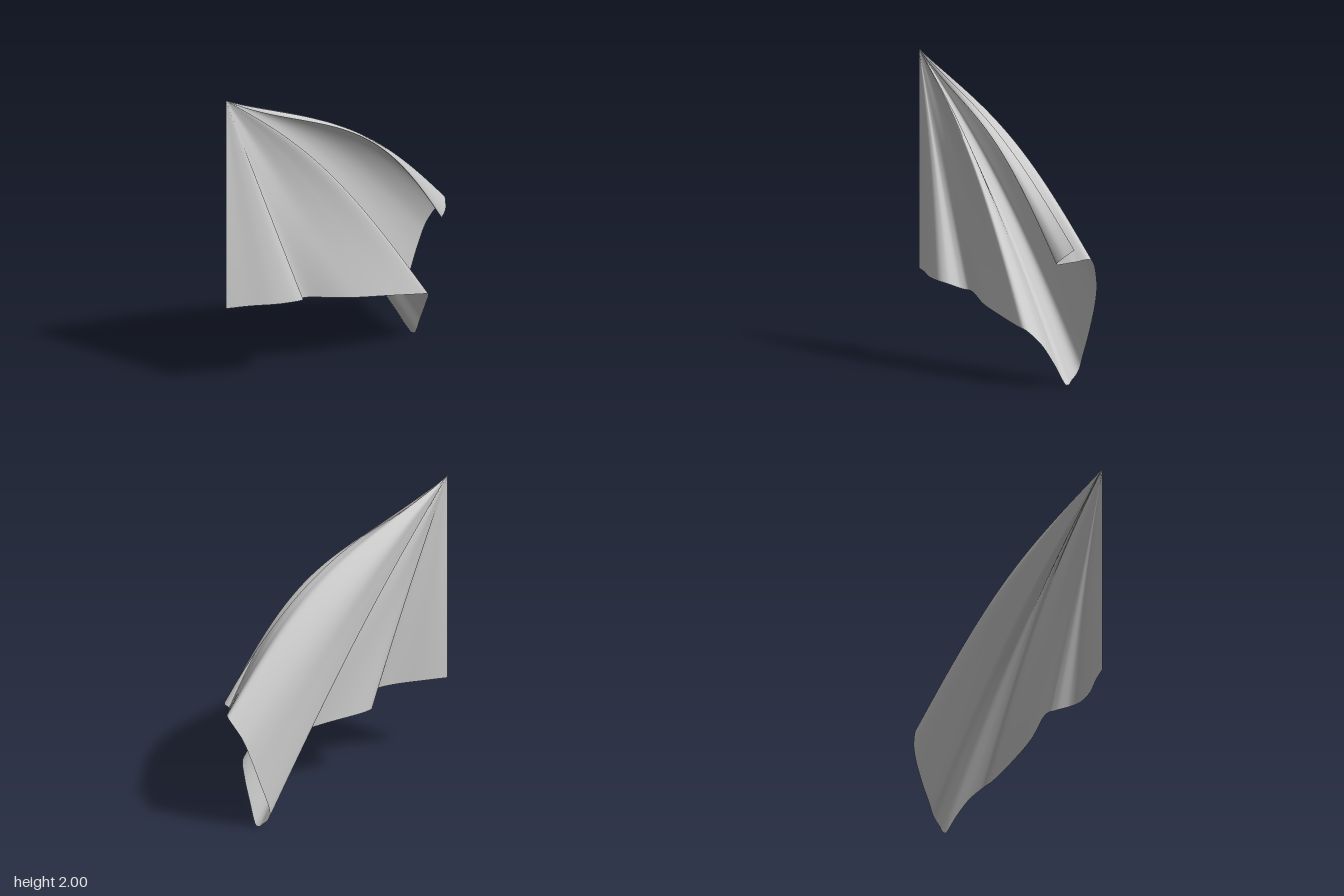
import * as THREE from 'three';

// Draped cloth: folds fan out from one pinned top corner to the free rim.
const APEX = new THREE.Vector3(-0.13, 2, 0.94);

// Rim points [x, y, z], then the ray's bulge [sideways, upward, peak position power]
const RAYS = [
  // lower edge, from the straight hoist
  [-0.13, 0.57, 0.94, 0, 0, 1],
  [-0.06, 0.57, 0.8, -0.01, 0, 1],
  [0.03, 0.565, 0.64, -0.015, 0, 1],
  [0.075, 0.56, 0.5, -0.015, 0, 1],
  [0.05, 0.545, 0.42, -0.01, 0.01, 1],
  [-0.03, 0.51, 0.37, 0.005, 0.02, 1],
  [-0.045, 0.5, 0.28, 0, 0.05, 1],
  [0.07, 0.46, 0.02, -0.05, 0.08, 1],
  [0.15, 0.425, -0.25, -0.04, 0.12, 1],
  [0.195, 0.385, -0.49, -0.01, 0.16, 1],
  // large ridge, turning under to the lowest corner
  [0.185, 0.36, -0.58, 0, 0.18, 1],
  [0.11, 0.27, -0.635, 0, 0.17, 1],
  [0.03, 0.14, -0.665, 0, 0.15, 1],
  [-0.05, 0.0, -0.685, -0.01, 0.125, 1],
  // fly edge, around the valley and up
  [-0.11, 0.03, -0.675, -0.015, 0.12, 1],
  [-0.165, 0.09, -0.675, -0.02, 0.12, 1],
  [-0.18, 0.18, -0.695, -0.02, 0.12, 1],
  [-0.18, 0.35, -0.765, -0.03, 0.13, 1],
  [-0.17, 0.55, -0.84, -0.04, 0.15, 1],
  [-0.14, 0.7, -0.89, -0.02, 0.17, 1.1],
  [-0.06, 0.84, -0.94, 0.02, 0.18, 1.2],
  // small pleat along the top edge
  [0.02, 0.83, -0.87, 0.04, 0.215, 1.35],
  [0.1, 0.81, -0.78, 0.06, 0.25, 1.5],
  [0.09, 0.855, -0.83, 0.06, 0.215, 1.4],
  [0.035, 0.91, -0.88, 0.05, 0.175, 1.25],
];

function createCloth(across = 240, along = 48) {
  const curve = (from) => new THREE.CatmullRomCurve3(
    RAYS.map((r) => new THREE.Vector3(r[from], r[from + 1], r[from + 2])), false, 'catmullrom', 0.5);
  const rim = curve(0), bulge = curve(3);
  const positions = [], indices = [];
  for (let i = 0; i <= across; i++) {
    const end = rim.getPoint(i / across), b = bulge.getPoint(i / across);
    for (let j = 0; j <= along; j++) {
      const s = j / along;
      const swell = Math.sin(Math.PI * Math.pow(s, b.z));
      const p = APEX.clone().lerp(end, s);
      positions.push(p.x + b.x * swell, Math.max(0, p.y + b.y * swell), p.z);
      if (i < across && j < along) {
        const a = i * (along + 1) + j, c = a + along + 1;
        indices.push(a, a + 1, c + 1);
        if (j > 0) indices.push(a, c + 1, c);
      }
    }
  }
  const geometry = new THREE.BufferGeometry();
  geometry.setAttribute('position', new THREE.Float32BufferAttribute(positions, 3));
  geometry.setIndex(indices);
  geometry.computeVertexNormals();
  return geometry;
}

export function createModel() {
  const group = new THREE.Group();
  group.name = 'flag';
  const cloth = new THREE.Mesh(createCloth(),
    new THREE.MeshStandardMaterial({ color: 0xcccccc, side: THREE.DoubleSide }));
  cloth.name = 'cloth';
  group.add(cloth);
  return group;
}
